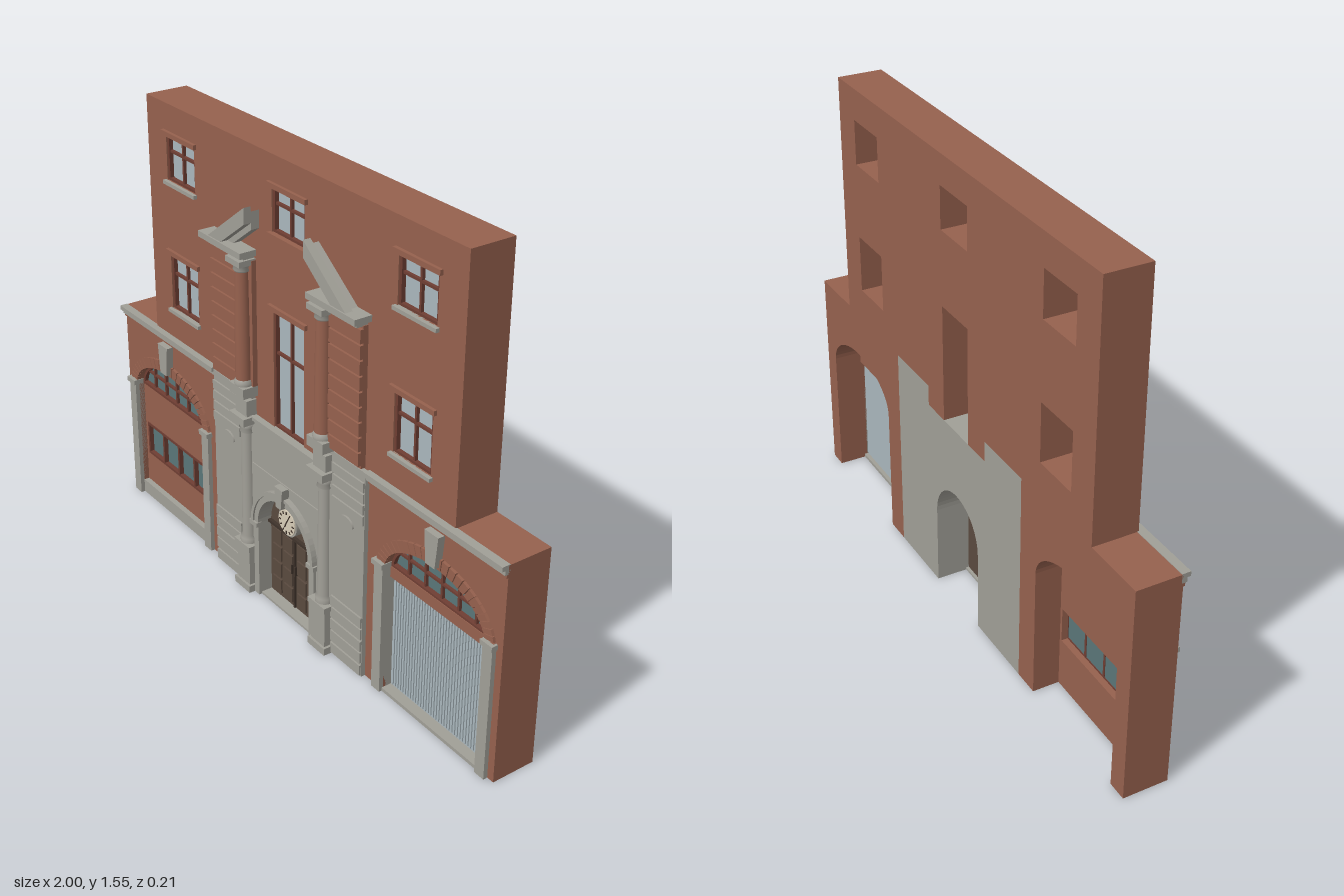
import * as THREE from 'three';

const mat = (name, color) => {
  const m = new THREE.MeshStandardMaterial({ color });
  m.name = name;
  return m;
};

export function createModel() {
  const root = new THREE.Group();
  root.name = 'buildingFacade';
  const brick = mat('brick', 0x96614e), stone = mat('stone', 0xa19f97);
  const frame = mat('window frame', 0x6f3e33), pane = mat('pale glass', 0xaab7bd);
  const teal = mat('dark glass', 0x5a7678), wood = mat('door wood', 0x5a4a3f);
  const darkWood = mat('dark wood', 0x40342c), cream = mat('clock face', 0xd8cdb8);
  const BACK = -0.105, FRONT = 0.045, STONE = 0.06;

  const add = (name, geo, m) => {
    const mesh = new THREE.Mesh(geo, m);
    mesh.name = name;
    root.add(mesh);
    return mesh;
  };
  const box = (name, m, x0, x1, y0, y1, z0, z1) => {
    const mesh = add(name, new THREE.BoxGeometry(Math.abs(x1 - x0), y1 - y0, z1 - z0), m);
    mesh.position.set((x0 + x1) / 2, (y0 + y1) / 2, (z0 + z1) / 2);
    return mesh;
  };
  const slab = (name, m, shape, z0, z1) => {
    const geo = new THREE.ExtrudeGeometry(shape, { depth: z1 - z0, bevelEnabled: false, curveSegments: 24 });
    return add(name, geo.translate(0, 0, z0), m);
  };
  const poly = pts => new THREE.Shape(pts.map(p => new THREE.Vector2(p[0], p[1])));
  const ellipse = (cx, cy, a, b, from, to, n = 28) => Array.from({ length: n + 1 }, (_, i) => {
    const t = from + (to - from) * i / n;
    return [cx + a * Math.cos(t), cy + b * Math.sin(t)];
  });
  const turned = (name, m, x, z, profile) => {
    const mesh = add(name, new THREE.LatheGeometry(profile.map(p => new THREE.Vector2(p[0], p[1])), 20), m);
    mesh.position.set(x, 0, z);
  };

  // Brick wall with the garage arches and the tall window cut into its outline
  const GX = 0.715, GA = 0.22, GB = 0.125, GY = 0.45;
  const arch = cx => [[cx - GA, 0], ...ellipse(cx, GY, GA, GB, Math.PI, 0), [cx + GA, 0]];
  const wall = poly([[-1, 0], ...arch(-GX), [-0.405, 0], [-0.405, 0.73], [-0.185, 0.73], [-0.185, 0.66],
    [-0.08, 0.66], [-0.08, 1.06], [0.08, 1.06], [0.08, 0.66], [0.185, 0.66], [0.185, 0.73],
    [0.405, 0.73], [0.405, 0], ...arch(GX), [1, 0], [1, 0.735], [0.785, 0.735], [0.785, 1.55],
    [-0.785, 1.55], [-0.785, 0.735], [-1, 0.735]]);
  const windows = [[0, 1.31, 1.45], [-0.59, 1.295, 1.445], [0.59, 1.295, 1.445], [-0.59, 0.845, 1.04], [0.59, 0.845, 1.04]];
  for (const [x, y0, y1] of windows) {
    wall.holes.push(new THREE.Path(poly([[x - 0.083, y0], [x - 0.083, y1], [x + 0.083, y1], [x + 0.083, y0]]).getPoints()));
  }
  slab('brickWall', brick, wall, BACK, FRONT);

  // Glazed windows with frame, glazing bars, lintel and sill
  for (const [x, y0, y1] of [...windows, [0, 0.66, 1.06]]) {
    const w = 0.083, bar = y0 + (y1 - y0) * 0.64;
    box('windowGlass', pane, x - w, x + w, y0, y1, 0.022, 0.026);
    for (const s of [-1, 1]) box('windowJamb', frame, x + s * w, x + s * (w - 0.009), y0, y1, 0.02, 0.04);
    box('windowHead', frame, x - w, x + w, y1 - 0.009, y1, 0.02, 0.04);
    box('windowFoot', frame, x - w, x + w, y0, y0 + 0.008, 0.02, 0.04);
    box('windowMullion', frame, x - 0.004, x + 0.004, y0, y1, 0.021, 0.036);
    box('windowTransom', frame, x - w, x + w, bar - 0.004, bar + 0.004, 0.021, 0.036);
    box('windowLintel', brick, x - 0.097, x + 0.097, y1, y1 + 0.016, 0.04, 0.056);
    if (y0 > 0.7) box('windowSill', x ? stone : brick, x - 0.092, x + 0.092, y0 - 0.012, y0, 0.04, 0.058);
  }

  // Stone centrepiece with the arched doorway
  const DR = 0.14, DY = 0.28;
  slab('stoneCentre', stone, poly([[-0.405, 0], [-DR, 0], ...ellipse(0, DY, DR, DR, Math.PI, 0), [DR, 0],
    [0.405, 0], [0.405, 0.73], [0.185, 0.73], [0.185, 0.66], [-0.185, 0.66], [-0.185, 0.73], [-0.405, 0.73]]), BACK, STONE);
  slab('doorArchRing', stone, poly([...ellipse(0, DY, 0.172, 0.172, 0, Math.PI), ...ellipse(0, DY, DR, DR, Math.PI, 0)]), STONE, 0.073);
  slab('doorArchMoulding', stone, poly([...ellipse(0, DY, 0.172, 0.172, 0, Math.PI), ...ellipse(0, DY, 0.16, 0.16, Math.PI, 0)]), 0.073, 0.079);
  slab('doorKeystone', stone, poly([[-0.014, 0.415], [0.014, 0.415], [0.022, 0.487], [-0.022, 0.487]]), STONE, 0.088);
  box('inscriptionPanelLedge', stone, -0.18, 0.18, 0.484, 0.49, STONE, 0.064);
  box('centreTopLedge', stone, -0.185, 0.185, 0.65, 0.662, STONE, 0.07);

  // Double door with panels, and the round clock above
  slab('door', wood, poly([[-DR, 0.008], ...ellipse(0, DY, DR, DR, Math.PI, 0), [DR, 0.008]]), 0.01, 0.02);
  box('doorStep', stone, -DR, DR, 0, 0.008, 0.0, 0.06);
  box('doorTransom', darkWood, -DR, DR, 0.274, 0.284, 0.02, 0.032);
  box('doorMeetingStile', darkWood, -0.003, 0.003, 0.01, 0.275, 0.02, 0.027);
  for (const s of [-1, 1]) {
    for (let c = 0; c < 2; c++) for (let r = 0; r < 4; r++) {
      const x = s * (0.038 + c * 0.062), y = 0.022 + r * 0.063;
      box('doorPanel', wood, x - 0.024, x + 0.024, y, y + 0.052, 0.02, 0.026);
    }
    box('doorHandle', darkWood, s * 0.007, s * 0.011, 0.14, 0.175, 0.02, 0.032);
  }
  const disc = (name, m, r, z0, z1) => {
    const mesh = add(name, new THREE.CylinderGeometry(r, r, z1 - z0, 32), m);
    mesh.rotation.x = Math.PI / 2;
    mesh.position.set(0, 0.35, (z0 + z1) / 2);
  };
  disc('clockCase', stone, 0.05, 0.02, 0.052);
  disc('clockFace', cream, 0.044, 0.052, 0.056);
  const tick = (name, angle, r0, r1, w) => {
    const mesh = add(name, new THREE.BoxGeometry(w, r1 - r0, 0.002).translate(0, (r0 + r1) / 2, 0), darkWood);
    mesh.position.set(0, 0.35, 0.057);
    mesh.rotation.z = -angle;
  };
  for (let i = 0; i < 12; i++) tick('hourMark', i * Math.PI / 6, 0.03, 0.04, 0.004);
  tick('hourHand', 3.6, 0, 0.022, 0.004);
  tick('minuteHand', 0.5, 0, 0.032, 0.003);

  for (const s of [-1, 1]) {
    const b = (name, m, x0, x1, y0, y1, z0, z1) => box(name, m, s * x0, s * x1, y0, y1, z0, z1);
    const sp = pts => poly(pts.map(([x, y]) => [s * x, y]));

    // Door pilasters and imposts
    b('doorPilaster', stone, 0.14, 0.166, 0, 0.27, STONE, 0.07);
    b('doorImpost', stone, 0.137, 0.178, 0.268, 0.284, STONE, 0.08);

    // Stone courses beside the door and scrolled brackets
    for (const y of [0.005, 0.052, 0.095, 0.14, 0.183]) b('stoneCourse', stone, 0.25, 0.403, y, y + 0.037, STONE, 0.066);
    for (const y of [0.55, 0.588, 0.626, 0.664]) b('stoneCourse', stone, 0.25, 0.403, y, y + 0.032, STONE, 0.066);
    slab('stoneScroll', stone, poly(ellipse(s * 0.32, 0.515, 0.035, 0.027, 0, Math.PI)), STONE, 0.066);

    // Lower columns on pedestals
    b('pedestalBase', stone, 0.166, 0.254, 0, 0.025, STONE, 0.092);
    b('pedestal', stone, 0.175, 0.245, 0.025, 0.16, STONE, 0.084);
    b('pedestalCap', stone, 0.166, 0.254, 0.16, 0.178, STONE, 0.092);
    turned('lowerColumn', stone, s * 0.21, 0.058, [[0.031, 0.178], [0.031, 0.195], [0.025, 0.205],
      [0.022, 0.59], [0.028, 0.595], [0.024, 0.607], [0.036, 0.636], [0, 0.636]]);
    b('lowerCapital', stone, 0.168, 0.252, 0.634, 0.66, STONE, 0.102);
    b('lowerEntablature', stone, 0.178, 0.242, 0.66, 0.715, 0.04, 0.083);

    // Upper rusticated brick piers
    b('upperPier', brick, 0.17, 0.385, 0.735, 1.19, FRONT, 0.062);
    for (let i = 0; i < 9; i++) b('brickCourse', brick, 0.238, 0.386, 0.746 + i * 0.049, 0.789 + i * 0.049, 0.062, 0.074);

    // Upper columns
    b('upperColumnPlinth', stone, 0.17, 0.25, 0.73, 0.765, FRONT, 0.1);
    turned('upperColumnBase', stone, s * 0.21, 0.07, [[0.031, 0.765], [0.032, 0.775], [0.027, 0.785]]);
    turned('upperColumn', brick, s * 0.21, 0.07, [[0.027, 0.78], [0.026, 0.97], [0.023, 1.155]]);
    turned('upperColumnCapital', stone, s * 0.21, 0.07, [[0.024, 1.15], [0.028, 1.156], [0.026, 1.164], [0.034, 1.18]]);
    b('upperCapitalSlab', stone, 0.172, 0.248, 1.176, 1.195, FRONT, 0.105);

    // Entablature and broken pediment
    b('entablatureLower', stone, 0.18, 0.382, 1.188, 1.205, FRONT, 0.084);
    b('entablatureUpper', stone, 0.168, 0.4, 1.205, 1.225, FRONT, 0.105);
    slab('pedimentRake', stone, sp([[0.35, 1.225], [0.28, 1.225], [0.15, 1.322], [0.15, 1.375]]), 0.074, 0.1);
    slab('pedimentBacking', stone, sp([[0.335, 1.225], [0.25, 1.225], [0.15, 1.3], [0.15, 1.358]]), FRONT, 0.074);

    // Wing cornice
    b('corniceTop', stone, 0.405, 1, 0.722, 0.737, 0.04, 0.068);
    b('corniceUnder', stone, 0.405, 1, 0.706, 0.722, 0.04, 0.057);
    b('corniceBrickBand', brick, 0.405, 1, 0.695, 0.706, 0.04, 0.051);

    // Garage jambs, brick arch and keystone
    for (const x of [0.475, 0.955]) {
      b('garageJamb', stone, x - 0.02, x + 0.02, 0, 0.45, 0.0, 0.06);
      b('garageJambCap', stone, x - 0.025, x + 0.025, 0.45, 0.467, 0.03, 0.067);
    }
    const n = 26;
    for (let i = 0; i < n; i++) {
      const t0 = Math.PI * (i + 0.06) / n, t1 = Math.PI * (i + 0.94) / n;
      slab('archBrick', brick, poly([...ellipse(s * GX, GY, 0.258, 0.163, t0, t1, 1),
        ...ellipse(s * GX, GY, GA, GB, t1, t0, 1)]), FRONT, 0.054);
    }
    slab('garageKeystone', stone, sp([[GX - 0.02, 0.585], [GX + 0.02, 0.585], [GX + 0.03, 0.692], [GX - 0.03, 0.692]]), FRONT, 0.07);

    // Fanlight
    slab('fanlightGlass', teal, poly([...ellipse(s * GX, GY, GA, GB, 0, Math.PI)]), 0.008, 0.012);
    slab('fanlightRim', frame, poly([...ellipse(s * GX, GY, GA, GB, 0, Math.PI),
      ...ellipse(s * GX, GY, GA - 0.009, GB - 0.009, Math.PI, 0)]), 0.006, 0.026);
    for (const dx of [-0.147, -0.073, 0, 0.073, 0.147]) {
      const top = GY + GB * Math.sqrt(1 - (dx / GA) ** 2);
      b('fanlightBar', frame, GX + dx - 0.004, GX + dx + 0.004, GY, top, 0.006, 0.022);
    }
    b('fanlightCrossBar', frame, GX - 0.198, GX + 0.198, 0.502, 0.509, 0.006, 0.022);
    b('fanlightFoot', frame, GX - GA, GX + GA, 0.448, 0.457, 0.004, 0.028);
  }

  // Ribbed roller shutter in the left opening
  box('shutterHead', brick, 0.495, 0.935, 0.412, 0.45, -0.01, 0.03);
  box('shutter', pane, 0.495, 0.935, 0.01, 0.412, 0.004, 0.014);
  for (let i = 0; i < 36; i++) box('shutterRib', pane, 0.504 + i * 0.012, 0.509 + i * 0.012, 0.018, 0.408, 0.014, 0.018);
  box('shutterSill', stone, 0.495, 0.935, 0, 0.012, -0.01, 0.05);

  // Brick infill with a strip window in the right opening
  const infill = poly([[-0.935, 0], [-0.495, 0], [-0.495, 0.45], [-0.935, 0.45]]);
  infill.holes.push(new THREE.Path(poly([[-0.915, 0.172], [-0.915, 0.292], [-0.505, 0.292], [-0.505, 0.172]]).getPoints()));
  slab('brickInfill', brick, infill, -0.015, 0.025);
  box('infillPlinth', stone, -0.935, -0.495, 0, 0.05, 0.02, 0.045);
  box('stripWindowGlass', teal, -0.915, -0.505, 0.172, 0.292, 0.008, 0.012);
  for (let i = 0; i < 5; i++) box('stripWindowBar', frame, -0.917 + i * 0.1025, -0.908 + i * 0.1025, 0.17, 0.294, 0.006, 0.028);
  for (const y of [0.168, 0.286]) box('stripWindowRail', frame, -0.917, -0.498, y, y + 0.009, 0.006, 0.028);

  return root;
}
